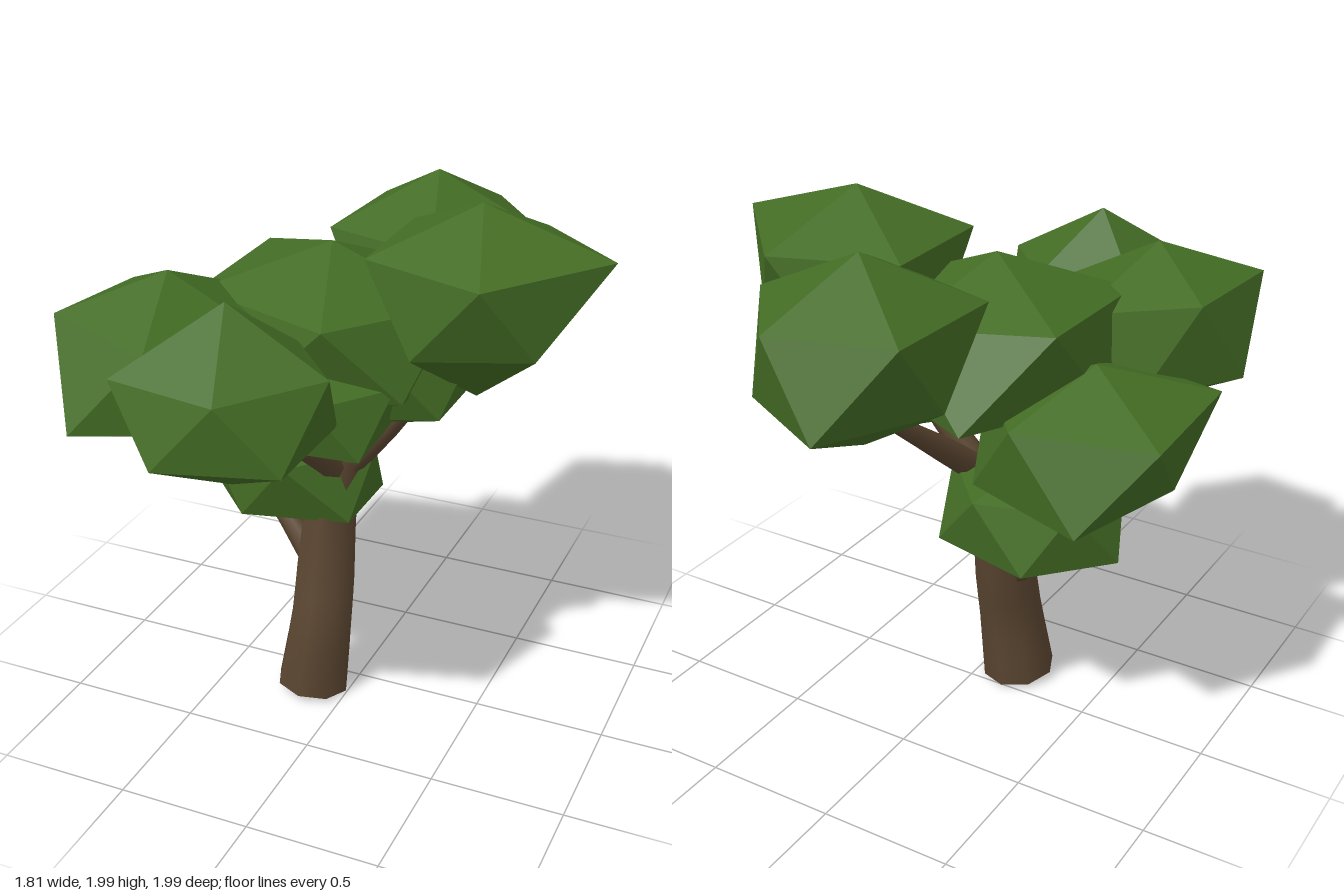
import * as THREE from 'three';
import { ConvexGeometry } from 'three/addons/geometries/ConvexGeometry.js';

const bark = new THREE.MeshStandardMaterial({ color: 0x5b4631 });
bark.name = 'bark brown';
const leaf = new THREE.MeshStandardMaterial({ color: 0x436c24, flatShading: true });
leaf.name = 'leaf green';

// Twelve-cornered leaf clump with one corner straight up. Upper corners u0..u4 start at +x and
// turn towards +z; lower corners l0..l4 lie opposite them. Nudges move single corners.
function clump(name, [x, y, z], [rx, ry, rz], nudges = {}) {
  const pts = [new THREE.Vector3(0, ry, 0), new THREE.Vector3(0, -ry, 0)];
  for (let i = 0; i < 5; i++) {
    const a = (i * Math.PI * 2) / 5;
    for (const [key, s] of [['u' + i, 1], ['l' + i, -1]]) {
      const p = new THREE.Vector3(Math.cos(a) * 0.894 * rx, 0.447 * ry, Math.sin(a) * 0.894 * rz);
      p.multiplyScalar(s);
      if (nudges[key]) p.add(new THREE.Vector3(...nudges[key]));
      pts.push(p);
    }
  }
  const mesh = new THREE.Mesh(new ConvexGeometry(pts), leaf);
  mesh.name = name;
  mesh.position.set(x, y, z);
  return mesh;
}

// Tapered limb through points [x, y, z, radius], closed at its lower end.
function limb(name, stations, sides, steps) {
  const curve = new THREE.CatmullRomCurve3(stations.map(([x, y, z]) => new THREE.Vector3(x, y, z)));
  const group = new THREE.Group();
  group.name = name;
  const geo = new THREE.TubeGeometry(curve, steps, 1, sides, false);
  const pos = geo.attributes.position;
  const v = new THREE.Vector3();
  for (let i = 0; i <= steps; i++) {
    const u = i / steps;
    const centre = curve.getPointAt(u);
    const t = curve.getUtoTmapping(u) * (stations.length - 1);
    const k = Math.min(Math.floor(t), stations.length - 2);
    const r = THREE.MathUtils.lerp(stations[k][3], stations[k + 1][3], t - k);
    for (let j = 0; j <= sides; j++) {
      const n = i * (sides + 1) + j;
      v.fromBufferAttribute(pos, n).sub(centre).multiplyScalar(r).add(centre);
      pos.setXYZ(n, v.x, v.y, v.z);
    }
  }
  geo.computeBoundingSphere();
  const side = new THREE.Mesh(geo, bark);
  side.name = name + 'Bark';

  const fan = [];
  const c = curve.getPoint(0);
  for (let j = 0; j < sides; j++) {
    fan.push(c.clone(), v.fromBufferAttribute(pos, j).clone(), v.fromBufferAttribute(pos, j + 1).clone());
  }
  const capGeo = new THREE.BufferGeometry().setFromPoints(fan);
  capGeo.computeVertexNormals();
  const cap = new THREE.Mesh(capGeo, bark);
  cap.name = name + 'End';
  group.add(side, cap);
  return group;
}

export function createModel() {
  const tree = new THREE.Group();
  tree.name = 'tree';

  // Leaning trunk
  tree.add(limb('trunk', [
    [-0.145, 0.025, 0.13, 0.143],
    [-0.118, 0.3, 0.105, 0.125],
    [-0.116, 0.52, 0.06, 0.12],
    [-0.11, 0.74, 0.025, 0.107],
    [-0.065, 0.99, 0.0, 0.075],
  ], 8, 10));

  // Branches: each runs from the trunk into a clump
  const branches = [
    ['lowerBranch', [-0.13, 0.48, 0.05], [-0.22, 0.58, 0.02], [-0.42, 0.76, -0.04], 0.06],
    ['frontBranch', [-0.085, 0.93, 0.02], [-0.1, 1.08, 0.2], [-0.13, 1.3, 0.52], 0.055],
    ['frontRightBranch', [-0.1, 0.95, 0.02], [-0.26, 1.09, 0.16], [-0.48, 1.28, 0.4], 0.055],
    ['leftBranch', [-0.06, 0.94, 0], [0.08, 1.1, -0.02], [0.32, 1.4, -0.06], 0.055],
    ['backBranch', [-0.06, 0.95, -0.02], [-0.02, 1.1, -0.2], [0.06, 1.38, -0.55], 0.055],
    ['backRightBranch', [-0.08, 0.95, 0], [-0.24, 1.08, -0.02], [-0.45, 1.2, -0.06], 0.045],
  ];
  for (const [name, a, b, c, r] of branches) {
    tree.add(limb(name, [[...a, r], [...b, r * 0.9], [...c, r * 0.4]], 8, 5));
  }

  // Leaf clumps
  tree.add(
    clump('leftTopClump', [0.42, 1.64, -0.09], [0.45, 0.36, 0.45], {
      u0: [0.075, 0.05, 0], u1: [0, 0.02, 0], u2: [-0.01, 0.03, 0.01], u3: [-0.02, 0.03, -0.01],
      u4: [0, 0.02, 0], l0: [0.06, 0.05, 0], l1: [0, 0.05, 0.03], l2: [-0.05, 0.06, 0.02],
      l3: [-0.05, 0.06, -0.02], l4: [0, 0.05, -0.03],
    }),
    clump('backTopClump', [0.08, 1.605, -0.57], [0.46, 0.345, 0.48], {
      l0: [0.09, 0, 0], l1: [0.03, 0, -0.02], l2: [-0.03, 0, 0.04],
      u2: [0, 0, 0.01], u3: [0.02, 0, 0.01], u4: [0, 0, 0.04],
    }),
    clump('middleClump', [-0.11, 1.5, -0.01], [0.52, 0.32, 0.49], {
      u2: [-0.02, 0.03, 0.02], u3: [-0.02, 0.04, -0.04], l1: [-0.02, 0, -0.11],
      l0: [0.03, 0, 0],
    }),
    clump('frontClump', [-0.19, 1.48, 0.65], [0.41, 0.33, 0.4], {
      u0: [0, -0.03, 0], u1: [-0.01, -0.05, -0.04], u2: [-0.02, -0.05, 0.02], u3: [0.13, -0.02, 0.1],
      u4: [0.02, -0.03, 0.08], l0: [0.07, 0.02, 0], l1: [0.02, 0, 0.07], l3: [0, 0, 0.01],
    }),
    clump('frontRightClump', [-0.52, 1.485, 0.44], [0.41, 0.315, 0.47], {
      u0: [-0.04, 0, -0.02], u1: [-0.02, 0, -0.05], u2: [-0.02, 0.05, -0.02], u3: [0.03, 0.04, 0.04],
      l0: [0.01, 0, 0], l1: [0, 0, 0.04], l4: [-0.04, 0, 0.05],
    }),
    clump('backRightClump', [-0.55, 1.26, -0.09], [0.47, 0.26, 0.48], {
      u2: [-0.01, 0.02, 0.02], u3: [-0.02, 0, 0], u4: [0.01, 0, 0.05],
      l0: [0.11, -0.02, 0], l1: [-0.01, -0.07, 0], l2: [0, -0.06, 0], l3: [0, -0.09, 0],
    }),
    clump('lowClump', [-0.31, 0.88, -0.06], [0.37, 0.21, 0.34], {
      u0: [0.02, 0.03, 0], u1: [0, 0.03, 0.01], u2: [0, 0.03, 0], u3: [0.03, 0.03, 0], u4: [0, 0.03, 0.01],
      l0: [-0.01, -0.03, 0], l1: [0, -0.02, 0], l2: [0.04, -0.03, 0], l3: [0.04, -0.03, -0.02],
      l4: [0, -0.04, -0.05],
    }),
    clump('innerFrontClump', [-0.05, 1.32, 0.24], [0.32, 0.2, 0.32], { l3: [0, -0.03, 0.02] }),
    clump('innerLeftClump', [0.12, 1.37, -0.06], [0.33, 0.24, 0.36]),
  );
  return tree;
}
